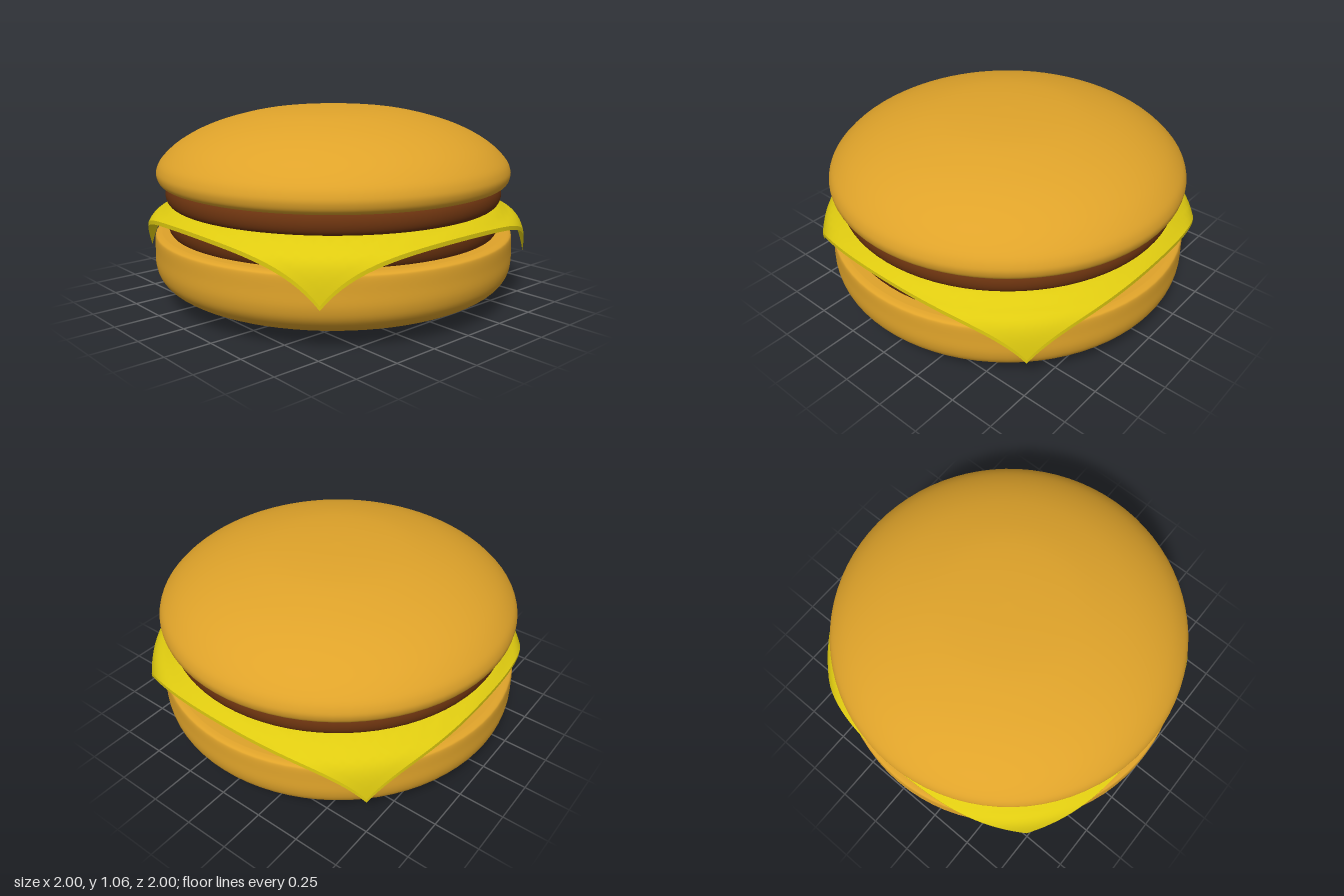
import * as THREE from 'three';

const material = (color) => new THREE.MeshStandardMaterial({ color });
const bunMaterial = material(0xdfa32a);
const pattyMaterial = material(0x6b330f);
const cheeseMaterial = material(0xdfcb10);

const vectors = (pairs) => pairs.map(([x, y]) => new THREE.Vector2(x, y));

// Turned part: a smooth profile listed from bottom to top, closed on the axis
function turned(name, profile, mat, start, end) {
  const curve = new THREE.SplineCurve(vectors(profile)).getPoints(48);
  const points = [...vectors(start), ...curve, ...vectors(end)];
  const mesh = new THREE.Mesh(new THREE.LatheGeometry(points, 80), mat);
  mesh.name = name;
  return mesh;
}

// Flat disc with a rounded rim
function patty(name, radius, y0, y1, round) {
  const middle = (y0 + y1) / 2, half = (y1 - y0) / 2;
  const rim = [];
  for (let i = 0; i <= 10; i++) {
    const a = -Math.PI / 2 + (Math.PI * i) / 10;
    rim.push([radius - round + round * Math.cos(a), middle + half * Math.sin(a)]);
  }
  return turned(name, rim, pattyMaterial, [[0, y0]], [[0, y1]]);
}

// Square slice that bends down where it passes the rim of the patty
function cheeseSlice() {
  const geometry = new THREE.BoxGeometry(1.94, 0.022, 1.94, 36, 1, 36);
  const p = geometry.attributes.position;
  const rimRadius = 0.88;
  for (let i = 0; i < p.count; i++) {
    const x = p.getX(i), z = p.getZ(i), r = Math.hypot(x, z);
    const over = r - rimRadius;
    if (over <= 0) continue;
    const bentRadius = rimRadius + 0.205 * (1 - Math.exp(-over / 0.17));
    const drop = 0.04 * THREE.MathUtils.smoothstep(over, 0, 0.09) + over * over;
    p.setXYZ(i, (x / r) * bentRadius, p.getY(i) - drop, (z / r) * bentRadius);
  }
  geometry.computeVertexNormals();
  const mesh = new THREE.Mesh(geometry, cheeseMaterial);
  mesh.name = 'cheeseSlice';
  mesh.position.set(0.01, 0.533, 0);
  return mesh;
}

export function createModel() {
  const model = new THREE.Group();
  model.name = 'burger';

  // Bottom bun: rounded underside, straight wall, soft top edge
  model.add(turned('bottomBun', [
    [0, 0], [0.4, 0.01], [0.7, 0.03], [0.84, 0.06], [0.93, 0.103], [0.98, 0.155],
    [1, 0.22], [1, 0.3], [0.998, 0.365], [0.988, 0.383], [0.96, 0.39],
  ], bunMaterial, [], [[0.9, 0.39], [0, 0.39]]));

  // Two patties with the cheese between them
  model.add(patty('lowerPatty', 0.93, 0.37, 0.53, 0.05));
  model.add(cheeseSlice());
  model.add(patty('upperPatty', 0.935, 0.543, 0.655, 0.035));

  // Top bun: domed, with a rounded lower rim
  model.add(turned('topBun', [
    [0.925, 0.645], [0.96, 0.66], [0.977, 0.69], [0.978, 0.73], [0.95, 0.785], [0.87, 0.86],
    [0.75, 0.93], [0.6, 0.987], [0.4, 1.035], [0.2, 1.056], [0, 1.062],
  ], bunMaterial, [[0, 0.645], [0.88, 0.645]], []));

  return model;
}
